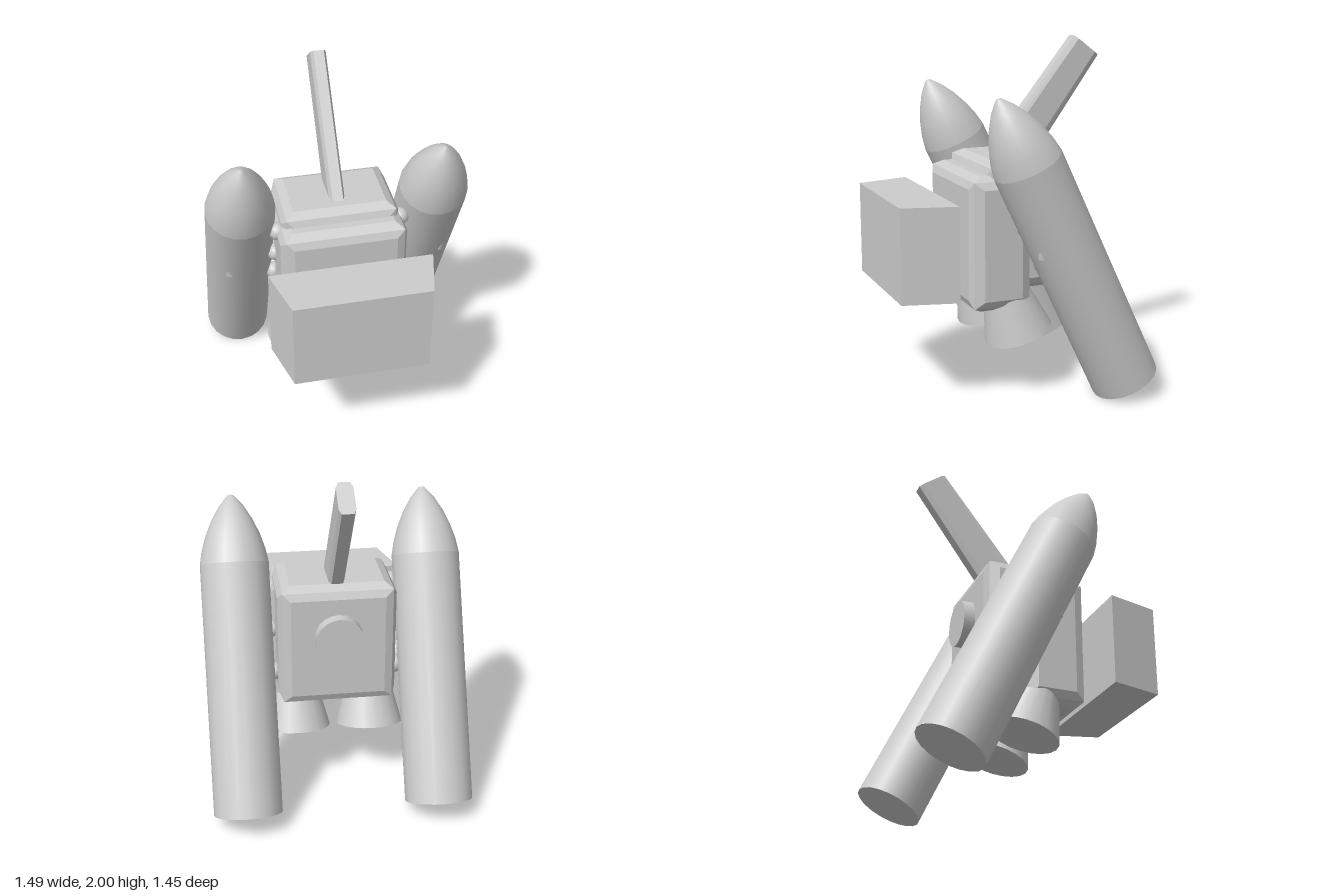
import * as THREE from 'three';
import { ConvexGeometry } from 'three/addons/geometries/ConvexGeometry.js';

const V = (x, y, z) => new THREE.Vector3(x, y, z);

// Box with bowed, bevelled edges: inset face corners plus slightly pulled-in outer corners
function bevelledBox(hx, hy, hz, inset = 0.07) {
  const pts = [];
  for (const sx of [-1, 1]) for (const sy of [-1, 1]) for (const sz of [-1, 1]) {
    const add = (x, y, z) => pts.push(V(sx * x, sy * y, sz * z));
    add(hx, hy - inset, hz - inset);
    add(hx - inset, hy, hz - inset);
    add(hx - inset, hy - inset, hz);
    add(hx - 0.025, hy - 0.028, hz - 0.018);
  }
  return new ConvexGeometry(pts);
}

export function createModel() {
  const group = new THREE.Group();
  group.name = 'jetPack';
  const grey = new THREE.MeshStandardMaterial({ color: 0xcccccc });
  grey.name = 'lightGrey';

  const add = (name, geometry, x = 0, y = 0, z = 0, parent = group) => {
    const mesh = new THREE.Mesh(geometry, grey);
    mesh.name = name;
    mesh.position.set(x, y, z);
    parent.add(mesh);
    return mesh;
  };

  // Two overlapping body blocks
  add('frontBody', bevelledBox(0.36, 0.385, 0.183), 0, 0.885, 0.122);
  add('backBody', bevelledBox(0.335, 0.365, 0.236), 0, 0.97, -0.045);

  // Round hatch on the back
  add('backDisc', new THREE.CylinderGeometry(0.135, 0.135, 0.1, 20), 0, 1.04, -0.295)
    .rotation.x = Math.PI / 2;

  // Detached front block, narrower towards the front
  const block = [];
  for (const s of [-1, 1]) for (const y of [0.62, 1.15])
    block.push(V(s * 0.46, y, 0.42), V(s * 0.38, y, 0.725));
  add('frontBlock', new ConvexGeometry(block));

  // Leaning fin with thinned front and rear edges; each row is front and back as [z, y]
  const fin = [];
  for (const [f, b] of [[[-0.455, 2], [-0.61, 1.885]], [[0.14, 1.25], [-0.155, 1.25]]]) {
    for (const [t, x] of [[0, 0.03], [0.16, 0.045], [0.84, 0.045], [1, 0.032]]) {
      const z = f[0] + (b[0] - f[0]) * t, y = f[1] + (b[1] - f[1]) * t;
      fin.push(V(x, y, z), V(-x, y, z));
    }
  }
  add('fin', new ConvexGeometry(fin));

  const nose = [[0.195, 1.42], [0.18, 1.5], [0.153, 1.585], [0.115, 1.67], [0.07, 1.745], [0.017, 1.807], [0, 1.81]]
    .map(([r, y]) => new THREE.Vector2(r, y));

  for (const s of [-1, 1]) {
    const side = s > 0 ? 'left' : 'right';

    // Slanted booster tank with a pointed nose
    const tank = new THREE.Group();
    tank.name = side + 'Tank';
    tank.position.set(s * 0.55, 0.086, -0.545);
    tank.rotation.x = 0.448;
    group.add(tank);
    add('tankBody', new THREE.CylinderGeometry(0.195, 0.195, 1.42, 20), 0, 0.71, 0, tank);
    add('tankNose', new THREE.LatheGeometry(nose, 20), 0, 0, 0, tank);

    // Exhaust nozzle under the body
    const nozzle = new THREE.Group();
    nozzle.name = side + 'Nozzle';
    nozzle.position.set(s * 0.22, 0.33, -0.025);
    nozzle.rotation.x = 0.297;
    group.add(nozzle);
    add('nozzleBell', new THREE.CylinderGeometry(0.11, 0.2, 0.35, 20), 0, 0.175, 0, nozzle);

    // Row of studs joining the body to the tank
    for (const [y, z] of [[1.2, 0.1], [0.98, 0], [0.76, -0.11]])
      add(side + 'Stud', new THREE.SphereGeometry(0.052, 12, 8), s * 0.352, y, z);

    // Small pointed peg on the outer front of the tank
    const peg = add(side + 'Peg', new THREE.ConeGeometry(0.035, 0.1, 8), s * 0.637, 0.92, 0.025);
    peg.rotation.set(0.45, 0, -s * 0.3);
  }
  return group;
}
